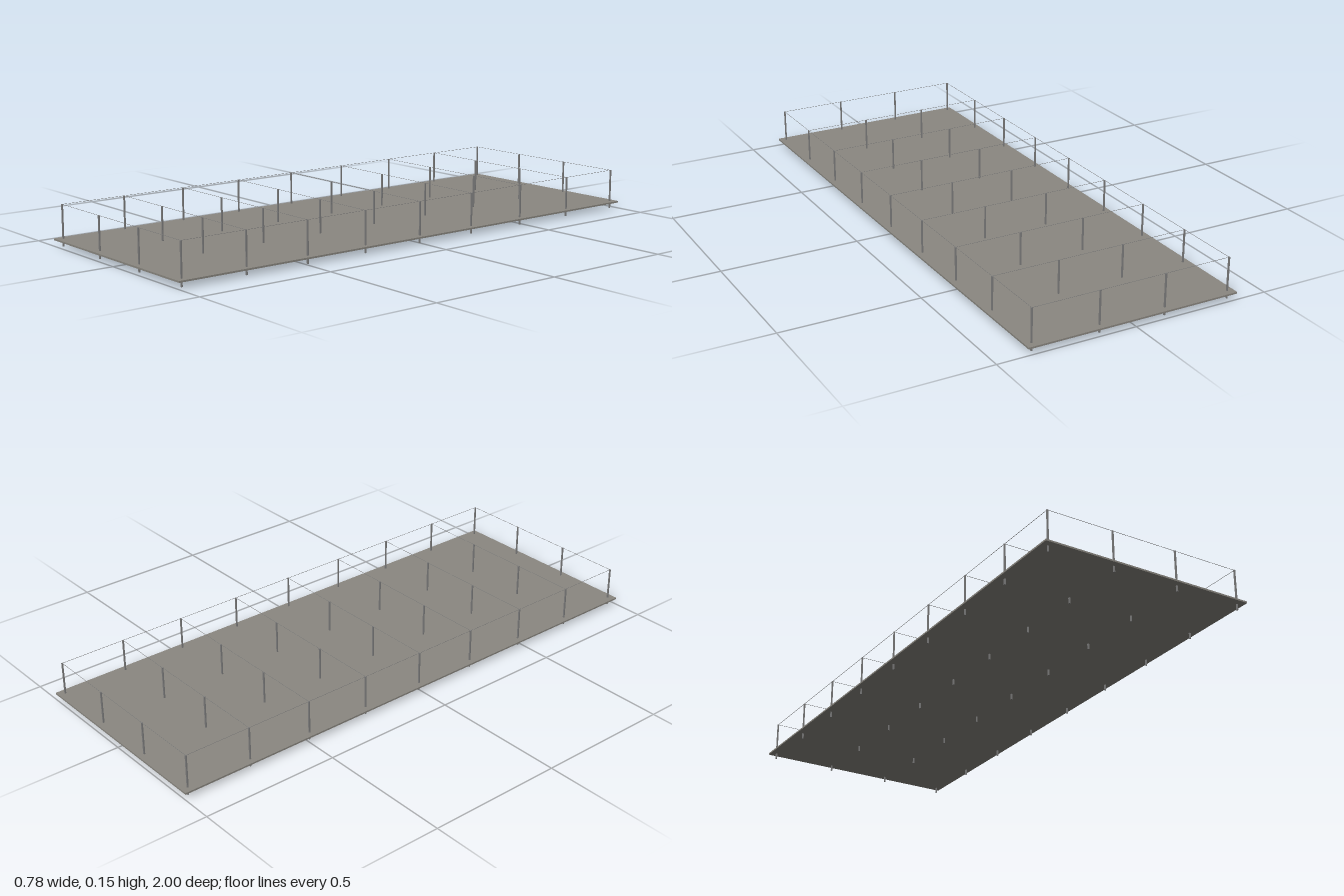
import * as THREE from 'three';

export function createModel() {
  const model = new THREE.Group();
  const slabMaterial = new THREE.MeshStandardMaterial({ color: 0x8b8881 });
  const metalMaterial = new THREE.MeshStandardMaterial({ color: 0x808080 });

  const addBox = (name, material, w, h, d, x, y, z) => {
    const mesh = new THREE.Mesh(new THREE.BoxGeometry(w, h, d), material);
    mesh.name = name;
    mesh.position.set(x, y, z);
    model.add(mesh);
  };

  const spacing = 0.244;
  const postHeight = 0.147;
  const postWidth = 0.005;
  const wire = 0.001;
  const sideX = spacing * 1.5;
  const endZ = spacing * 4;
  const wireY = postHeight - wire / 2;

  // Thin floor slab, raised on the post feet
  addBox('floorSlab', slabMaterial, 0.778, 0.006, 2, 0, 0.0242, 0);

  for (let row = -4; row <= 4; row++) {
    const z = row * spacing;
    // Row of four posts passing through the slab
    for (let col = 0; col < 4; col++) {
      addBox('post', metalMaterial, postWidth, postHeight, postWidth, (col - 1.5) * spacing, postHeight / 2, z);
    }
    // Thin rail across the post tops
    addBox('crossRail', metalMaterial, sideX * 2, wire, wire, 0, wireY, z);
  }

  // Long rails along both sides
  for (const side of [-1, 1]) {
    addBox('sideRail', metalMaterial, wire, wire, endZ * 2, side * sideX, wireY, 0);
  }

  return model;
}
